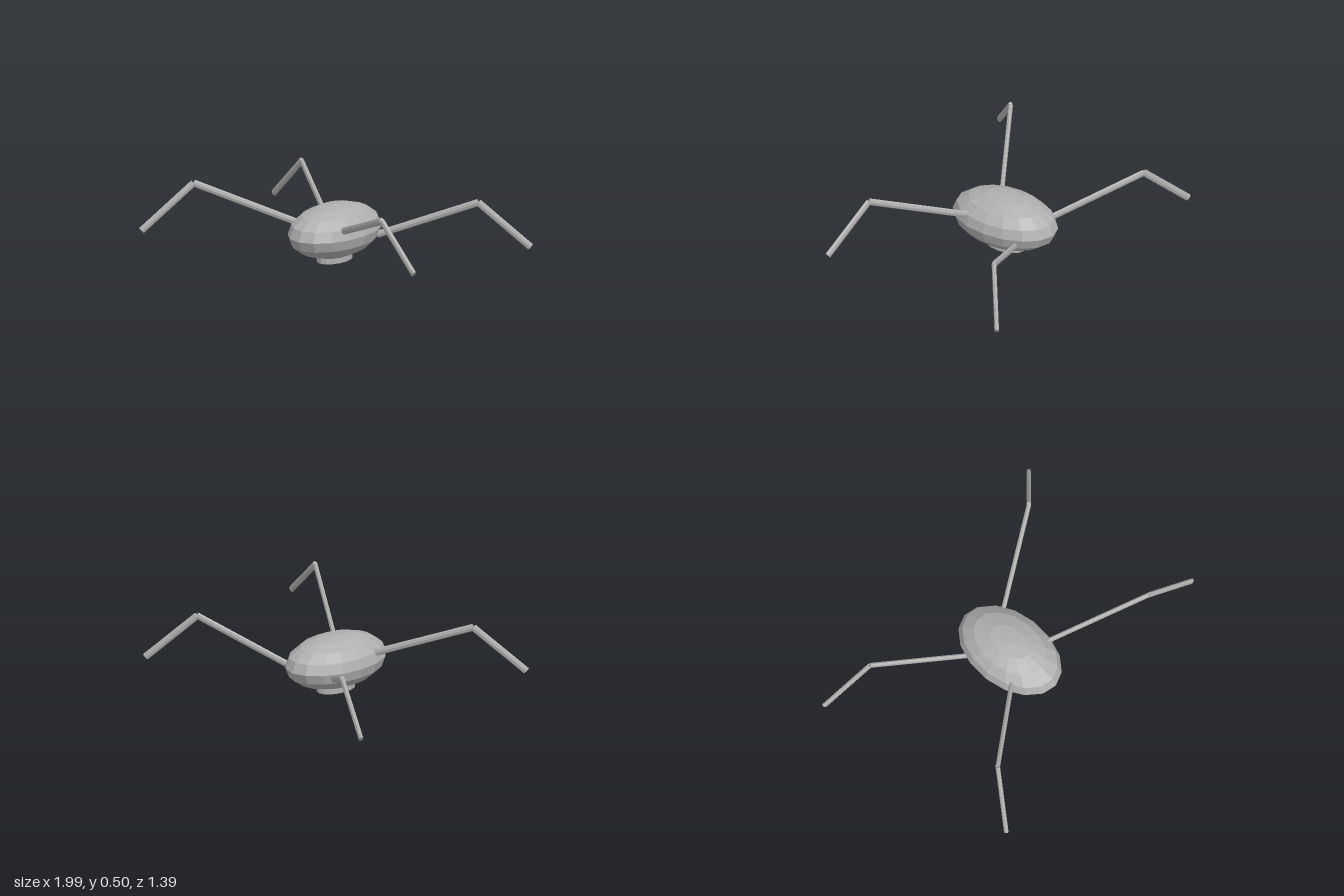
import * as THREE from 'three';

const grey = new THREE.MeshStandardMaterial({ color: 0xb0b0b0, flatShading: true });
grey.name = 'grey';

// Straight limb with an oval section: narrow sideways, deep in its vertical plane
function limb(name, a, b) {
  const dir = b.clone().sub(a);
  const length = dir.length();
  dir.normalize();
  const side = new THREE.Vector3().crossVectors(dir, new THREE.Vector3(0, 1, 0)).normalize();
  const depth = new THREE.Vector3().crossVectors(side, dir);
  const geometry = new THREE.CylinderGeometry(1, 1, length, 8);
  geometry.scale(0.014, 1, 0.022);
  const mesh = new THREE.Mesh(geometry, grey);
  mesh.name = name;
  mesh.quaternion.setFromRotationMatrix(new THREE.Matrix4().makeBasis(side, dir, depth));
  mesh.position.copy(a).add(b).multiplyScalar(0.5);
  return mesh;
}

export function createModel() {
  const model = new THREE.Group();
  model.name = 'fourLeggedBug';

  // Faceted oval body, its lowest cap pulled down into a short foot
  const profile = [];
  for (let i = 0; i <= 8; i++) {
    const t = (i * Math.PI) / 8;
    const r = i === 0 || i === 8 ? 0 : Math.sin(t);
    const y = 0.195 - 0.16 * Math.cos(t);
    if (i < 2) profile.push(new THREE.Vector2(r, y - 0.034));
    if (i > 0) profile.push(new THREE.Vector2(r, y));
  }
  const shell = new THREE.LatheGeometry(profile, 16);
  shell.scale(0.23, 1, 0.352);
  const body = new THREE.Mesh(shell, grey);
  body.name = 'body';
  body.position.set(-0.035, 0, -0.033);
  model.add(body);

  // Legs: hip, knee and foot of each
  const legs = {
    frontLeftLeg: [[0.13, 0.245, 0.11], [0.68, 0.48, 0.45], [0.98, 0.222, 0.532]],
    frontRightLeg: [[-0.2, 0.245, 0.115], [-0.73, 0.472, 0.44], [-0.94, 0.195, 0.677]],
    backLeftLeg: [[0.135, 0.15, -0.23], [0.695, 0.385, -0.485], [0.935, 0.107, -0.682]],
    backRightLeg: [[-0.2, 0.16, -0.205], [-0.69, 0.385, -0.575], [-0.98, 0.113, -0.687]],
  };
  for (const [name, points] of Object.entries(legs)) {
    const [hip, knee, foot] = points.map((p) => new THREE.Vector3(...p));
    const leg = new THREE.Group();
    leg.name = name;
    leg.add(limb('upperLeg', hip, knee), limb('lowerLeg', knee, foot));
    model.add(leg);
  }
  return model;
}
